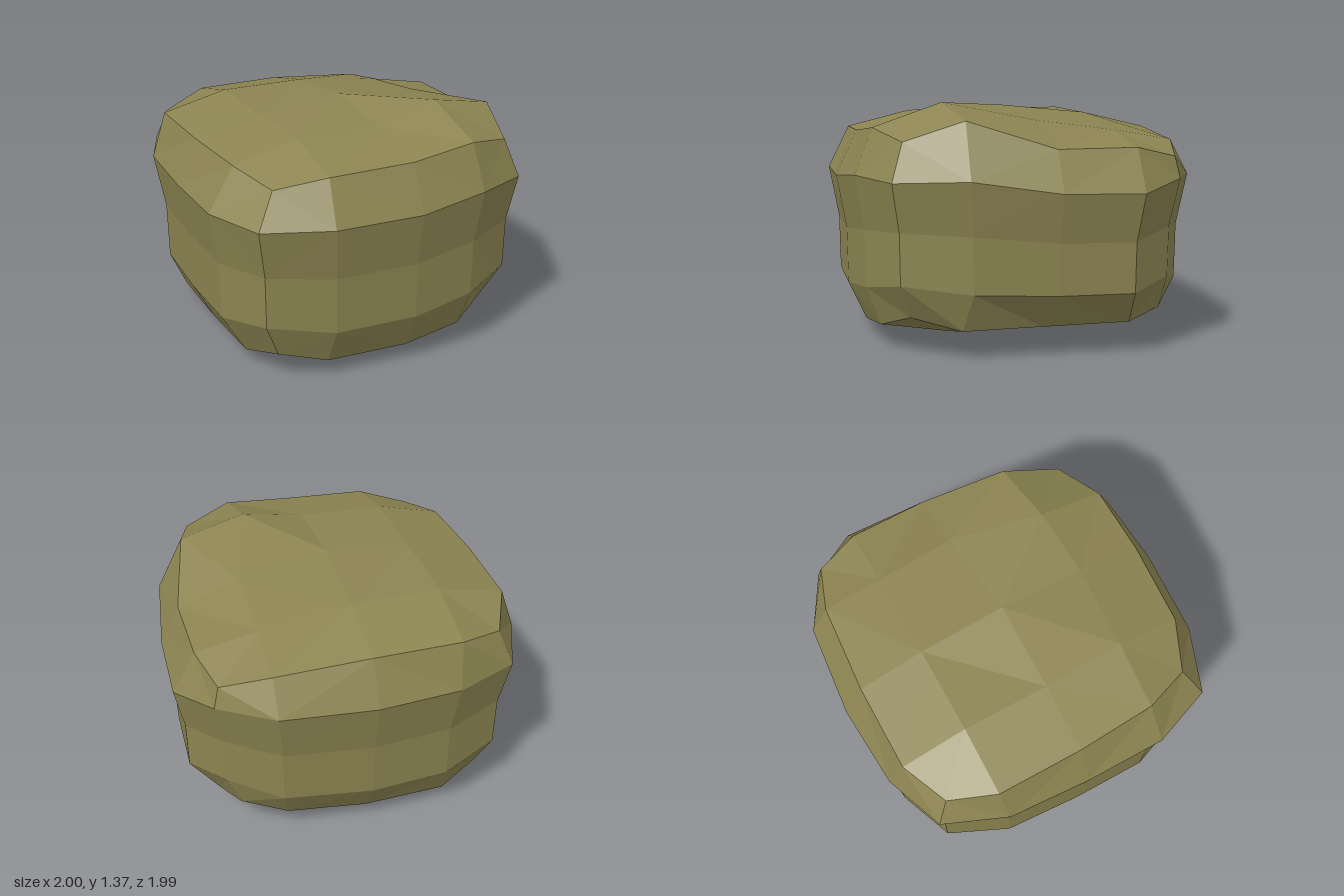
import * as THREE from 'three';

// Rings run: front left corner, front, right, back, left (16 points, x y z).
const topRim = [
  [-.75, 1.13, .73], [-.48, 1.19, .84], [0, 1.2, .87], [.38, 1.24, .85],
  [.66, 1.18, .74], [.75, 1.29, .42], [.87, 1.14, -.05], [.87, 1.14, -.5],
  [.8, 1.08, -.75], [.53, 1.15, -.84], [0, 1.19, -.88], [-.5, 1.19, -.88],
  [-.76, 1.13, -.76], [-.88, 1.2, -.5], [-.88, 1.2, 0], [-.85, 1.19, .46],
];
const waist = [
  [-.87, .95, .82], [-.5, .945, .96], [0, .945, .99], [.4, .985, .95],
  [.72, .97, .81], [.9, .985, .43], [.98, .915, -.05], [1, .905, -.5],
  [.83, .96, -.77], [.53, .95, -.95], [0, .94, -1], [-.47, .94, -.97],
  [-.82, .95, -.84], [-.97, .95, -.48], [-1, .95, 0], [-1, .95, .47],
];
const bottomRim = [
  [-.73, .17, .72], [-.47, .105, .8], [0, .1, .83], [.35, .14, .81],
  [.58, .22, .69], [.75, .165, .44], [.78, .17, 0], [.78, .165, -.5],
  [.7, .22, -.71], [.45, .14, -.78], [0, .1, -.81], [-.47, .1, -.8],
  [-.71, .17, -.7], [-.81, .09, -.46], [-.82, .09, 0], [-.81, .09, .46],
];
// Inner 3 x 3 points of the caps, front row first, left to right.
const topInner = [
  [-.48, 1.28, .47], [0, 1.28, .5], [.37, 1.37, .46],
  [-.5, 1.28, 0], [0, 1.33, 0], [.52, 1.27, -.05],
  [-.5, 1.285, -.5], [0, 1.28, -.5], [.52, 1.21, -.5],
];
const bottomInner = [
  [-.47, .02, .46], [0, .03, .47], [.45, .1, .45],
  [-.47, .01, 0], [0, .02, 0], [.47, .1, 0],
  [-.47, 0, -.46], [0, .02, -.47], [.47, .1, -.46],
];

// Lower side rings: the waist drawn in slightly, heights between waist and rim.
function sideRing(t, spread) {
  return waist.map(([x, y, z], i) =>
    [x * spread, y + (bottomRim[i][1] - y) * t, z * spread]);
}

// Arranges a rim and its inner points as a 5 x 5 grid.
function capGrid(rim, inner) {
  const rows = [];
  for (let r = 0; r < 5; r++) {
    if (r === 0) rows.push(rim.slice(0, 5));
    else if (r === 4) rows.push(rim.slice(8, 13).reverse());
    else rows.push([rim[16 - r], ...inner.slice(r * 3 - 3, r * 3), rim[4 + r]]);
  }
  return rows;
}

// Fills a grid with triangles, each quad split along its shorter diagonal.
function fill(out, rows) {
  const dist = (p, q) => Math.hypot(p[0] - q[0], p[1] - q[1], p[2] - q[2]);
  for (let r = 0; r < rows.length - 1; r++) {
    for (let c = 0; c < rows[r].length - 1; c++) {
      const a = rows[r][c], b = rows[r][c + 1];
      const d = rows[r + 1][c], e = rows[r + 1][c + 1];
      if (dist(a, e) < dist(b, d)) out.push(...a, ...b, ...e, ...a, ...e, ...d);
      else out.push(...a, ...b, ...d, ...b, ...e, ...d);
    }
  }
}

export function createModel() {
  const group = new THREE.Group();
  group.name = 'boulder';

  const points = [];
  const sides = [bottomRim, sideRing(.74, .94), sideRing(.36, .945), waist, topRim];
  fill(points, sides.map((ring) => [...ring, ring[0]]));
  fill(points, capGrid(topRim, topInner));
  fill(points, capGrid(bottomRim, bottomInner).reverse());

  const geometry = new THREE.BufferGeometry();
  geometry.setAttribute('position', new THREE.Float32BufferAttribute(points, 3));
  geometry.computeVertexNormals();

  const stone = new THREE.Mesh(
    geometry,
    new THREE.MeshStandardMaterial({ color: 0x8c8451, flatShading: true }),
  );
  stone.name = 'stone';
  group.add(stone);
  return group;
}
